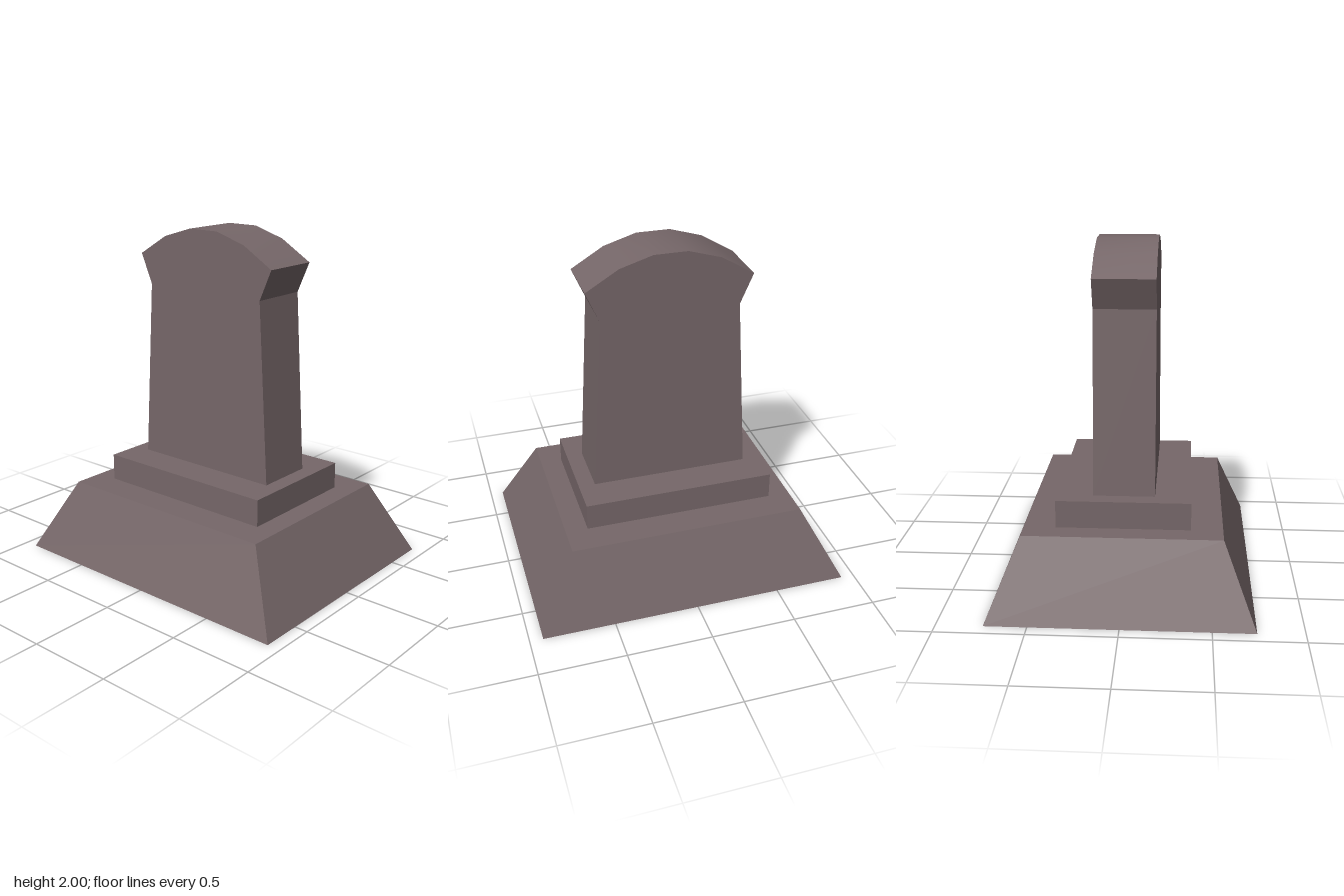
import * as THREE from 'three';
import { toCreasedNormals } from 'three/addons/utils/BufferGeometryUtils.js';

export function createModel() {
  const model = new THREE.Group();
  model.name = 'gravestone';
  const stone = new THREE.MeshStandardMaterial({ color: 0x766769 });
  stone.name = 'mauve grey stone';

  const add = (name, geometry, y) => {
    const mesh = new THREE.Mesh(geometry, stone);
    mesh.name = name;
    mesh.position.y = y;
    model.add(mesh);
  };

  // Sloped plinth: a box whose top is drawn inwards
  const plinth = new THREE.BoxGeometry(1.845, 0.435, 1.48);
  const p = plinth.attributes.position;
  for (let i = 0; i < p.count; i++) {
    if (p.getY(i) > 0) {
      p.setX(i, Math.sign(p.getX(i)) * 0.695);
      p.setZ(i, Math.sign(p.getZ(i)) * 0.56);
    }
  }
  const flatPlinth = plinth.toNonIndexed();
  flatPlinth.computeVertexNormals();
  add('plinth', flatPlinth, 0.2175);

  // Square step
  add('step', new THREE.BoxGeometry(1.13, 0.16, 0.76), 0.513);

  // Tapered slab with flared shoulders and an arched top
  const half = [[0.468, 0.593], [0.405, 1.65], [0.482, 1.826], [0.29, 1.942], [0.098, 2]];
  const mirrored = half.map(([x, y]) => [-x, y]).reverse();
  const outline = new THREE.Shape([...half, ...mirrored].map(([x, y]) => new THREE.Vector2(x, y)));
  const slab = new THREE.ExtrudeGeometry(outline, { depth: 0.35, bevelEnabled: false });
  slab.translate(0, 0, -0.175);
  add('slab', toCreasedNormals(slab, THREE.MathUtils.degToRad(20)), 0);

  return model;
}
